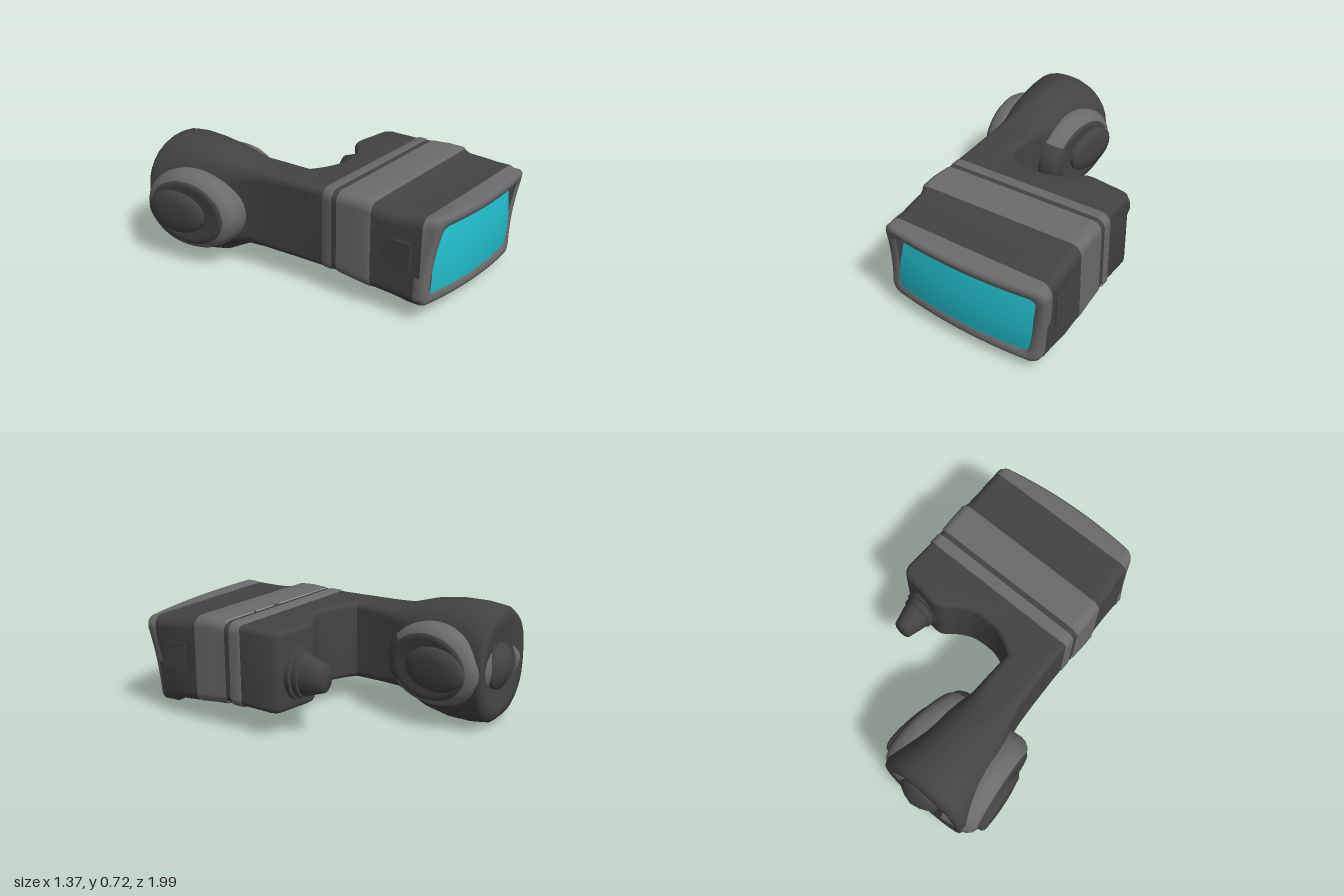
import * as THREE from 'three';
import { toCreasedNormals } from 'three/addons/utils/BufferGeometryUtils.js';

const mat = (name, color) => Object.assign(new THREE.MeshStandardMaterial({ color }), { name });

// Rounded four-sided ring; corners run top (+x), top (-x), bottom (-x), bottom (+x)
function ring([zAt, quad, r]) {
  const pts = [], arc = 7, edge = 14;
  const signs = [[1, 1], [-1, 1], [-1, -1], [1, -1]];
  const corner = (k, a) => {
    const [x, y] = quad[k], [sx, sy] = signs[k];
    return [x - sx * r + r * Math.cos(a), y - sy * r + r * Math.sin(a)];
  };
  for (let k = 0; k < 4; k++) {
    for (let i = 0; i <= arc; i++) pts.push(corner(k, (k + i / arc) * Math.PI / 2));
    const p = pts[pts.length - 1], q = corner((k + 1) % 4, (k + 1) * Math.PI / 2);
    for (let i = 1; i < edge; i++) {
      const t = i / edge;
      pts.push([p[0] + (q[0] - p[0]) * t, p[1] + (q[1] - p[1]) * t]);
    }
  }
  return pts.map(([x, y]) => [x, y, typeof zAt === 'function' ? zAt(x, y) : zAt]);
}

// Skin over rings listed from back to front
function loft(sections) {
  const rings = sections.map(ring), n = rings[0].length, index = [];
  for (let i = 0; i < rings.length - 1; i++) {
    for (let j = 0; j < n; j++) {
      const a = i * n + j, b = i * n + (j + 1) % n;
      index.push(a, b, a + n, b, b + n, a + n);
    }
  }
  const g = new THREE.BufferGeometry();
  g.setAttribute('position', new THREE.Float32BufferAttribute(rings.flat(2), 3));
  g.setIndex(index);
  g.computeVertexNormals();
  return g;
}

const box = (x0, x1, y0, y1) => [[x1, y1], [x0, y1], [x0, y0], [x1, y0]];
const inset = (quad, d) => quad.map(([x, y], k) => [x - (k === 0 || k === 3 ? d : -d), y - (k < 2 ? d : -d)]);
const lathe = (pts, start = 0, length = Math.PI * 2) =>
  toCreasedNormals(new THREE.LatheGeometry(pts.map(p => new THREE.Vector2(...p)), 48, start, length), 0.7);

export function createModel() {
  const dark = mat('charcoal', 0x434343), grey = mat('mid grey', 0x6b6b6d), teal = mat('teal', 0x20bcca);
  const model = new THREE.Group();
  const add = (name, geometry, material, parent = model) => {
    const mesh = new THREE.Mesh(geometry, material);
    mesh.name = name;
    parent.add(mesh);
    return mesh;
  };

  // Rear housing: plan outline with a scooped back, joined to the arm
  const V = (x, z) => new THREE.Vector2(x, -z);
  const plan = new THREE.Shape();
  plan.moveTo(-0.395, -0.36);
  plan.lineTo(0.635, -0.36);
  plan.lineTo(0.64, -0.03);
  plan.splineThru([V(0.625, -0.005), V(0.59, -0.03), V(0.48, -0.045), V(0.37, -0.06), V(0.31, -0.045),
    V(0.24, 0.01), V(0.14, 0.055), V(0, 0.06), V(-0.1, 0.025), V(-0.17, -0.02)]);
  plan.lineTo(-0.175, 0.12);
  plan.lineTo(-0.41, 0.12);
  const rear = new THREE.ExtrudeGeometry(plan, {
    depth: 0.41, bevelSize: 0.035, bevelThickness: 0.035, bevelOffset: -0.035, bevelSegments: 5, curveSegments: 24,
  });
  rear.rotateX(-Math.PI / 2).translate(0, 0.19, 0);
  add('rearHousing', toCreasedNormals(rear, 0.6), dark);

  // Banded body
  const band = box(-0.405, 0.65, 0.142, 0.648);
  add('rearBand', loft([[0.228, inset(band, 0.02), 0.05], [0.24, band, 0.06], [0.302, band, 0.06]]), grey);
  add('bandGroove', loft([[0.3, inset(band, 0.004), 0.06], [0.337, inset(band, 0.004), 0.06]]), dark);
  add('frontBand', loft([[0.335, band, 0.06], [0.45, box(-0.408, 0.655, 0.132, 0.654), 0.06],
    [0.54, box(-0.405, 0.66, 0.122, 0.65), 0.06], [0.558, box(-0.397, 0.657, 0.122, 0.638), 0.06]]), grey);

  // Front quad leans a little, so the neck twists towards it
  const front = [[0.675, 0.59], [-0.35, 0.63], [-0.385, 0.105], [0.62, 0.055]];
  const neck = [[0.667, 0.605], [-0.365, 0.62], [-0.38, 0.095], [0.63, 0.065]];
  add('neck', loft([[0.555, box(-0.397, 0.657, 0.122, 0.638), 0.06], [0.59, box(-0.39, 0.655, 0.117, 0.622), 0.06],
    [0.7, box(-0.383, 0.658, 0.107, 0.615), 0.06], [0.78, neck, 0.06], [0.862, neck, 0.06]]), dark);
  for (const [x, side] of [[0.66, 'left'], [-0.384, 'right']]) {
    const panel = add(side + 'Panel', new THREE.BoxGeometry(0.009, 0.18, 0.17), dark);
    panel.position.set(x, 0.38, 0.72);
  }

  // Front frame with a bowed rim
  const screenZ = (x, y) => 0.935 - 0.05 * ((x - 0.14) / 0.52) ** 2 - 0.03 * ((y - 0.25) / 0.25) ** 2;
  const rim = (d) => (x, y) => {
    const u = (x - 0.14) / 0.52, t = (y - 0.33) / 0.28;
    return 0.945 + d - 0.045 * u * u + 0.025 * t + 0.025 * t * t;
  };
  add('frame', loft([[0.86, neck, 0.06], [rim(-0.065), front, 0.06], [rim(-0.025), front, 0.06],
    [rim(-0.006), inset(front, 0.012), 0.055], [rim(0), inset(front, 0.035), 0.05],
    [rim(-0.006), inset(front, 0.06), 0.04], [rim(-0.015), inset(front, 0.068), 0.035]]), grey);
  const lip = inset(front, 0.068), floorZ = (x, y) => screenZ(x, y) - 0.012;
  add('frameRecess', loft([[rim(-0.015), lip, 0.035], [floorZ, inset(lip, 0.012), 0.03],
    [floorZ, inset(lip, 0.05), 0.02]]), dark);

  // Curved screen
  const pane = new THREE.PlaneGeometry(1, 1, 24, 12), pos = pane.attributes.position;
  const [tl, tr, br, bl] = [[-0.283, 0.53], [0.615, 0.485], [0.572, 0.118], [-0.315, 0.165]];
  for (let i = 0; i < pos.count; i++) {
    const u = pos.getX(i) + 0.5, v = pos.getY(i) + 0.5;
    const mix = (k) => (bl[k] * (1 - u) + br[k] * u) * (1 - v) + (tl[k] * (1 - u) + tr[k] * u) * v;
    const x = mix(0), y = mix(1);
    pos.setXYZ(i, x, y, screenZ(x, y));
  }
  pane.computeVertexNormals();
  add('screen', pane, teal);

  // Arm flaring into the round rear pod
  add('armAndPod', loft([
    [-0.91, box(-0.32, -0.31, 0.365, 0.375), 0.005], [-0.915, box(-0.45, -0.18, 0.23, 0.51), 0.13],
    [-0.938, box(-0.56, -0.07, 0.11, 0.63), 0.23], [-0.935, box(-0.595, -0.035, 0.06, 0.68), 0.26],
    [-0.9, box(-0.61, -0.025, 0.025, 0.708), 0.27], [-0.8, box(-0.58, -0.055, 0.005, 0.724), 0.25],
    [-0.65, box(-0.54, -0.095, 0.003, 0.724), 0.21], [-0.5, box(-0.51, -0.115, 0.035, 0.705), 0.18],
    [-0.4, box(-0.48, -0.135, 0.09, 0.675), 0.14], [-0.31, box(-0.445, -0.16, 0.14, 0.645), 0.08],
    [-0.2, box(-0.425, -0.165, 0.152, 0.637), 0.05], [-0.05, box(-0.412, -0.17, 0.153, 0.636), 0.04],
    [0.15, box(-0.402, -0.17, 0.154, 0.636), 0.04]]), dark);

  // Cap on the back of the pod
  const cap = add('rearCap', lathe([[0.14, -0.03], [0.135, 0.015], [0.11, 0.035], [0.06, 0.06], [0, 0.075]]), dark);
  cap.rotation.x = -Math.PI / 2;
  cap.position.set(-0.28, 0.37, -0.925);

  // Oval side pods: grey ring, dark dish and raised disc
  const ringProfile = [[1, -0.08], [1, 0.045], [0.97, 0.08], [0.9, 0.11], [0.8, 0.125]];
  const dishProfile = [[0.8, 0.125], [0.77, 0.135], [0.66, 0.13], [0, 0.13]];
  const discProfile = [[1, 0.12], [0.98, 0.15], [0.9, 0.163], [0.5, 0.172], [0, 0.175]];
  for (const [side, x, turn, gap] of [['left', -0.14, -0.12, 0.65], ['right', -0.505, Math.PI + 0.12, 0]]) {
    const pod = new THREE.Group();
    pod.name = side + 'SidePod';
    pod.position.set(x, side === 'left' ? 0.375 : 0.35, -0.615);
    pod.rotation.y = turn;
    model.add(pod);
    const oval = (name, profile, material, sy, sz, start, length) => {
      const g = lathe(profile, start, length);
      g.rotateZ(-Math.PI / 2).scale(1, sy, sz);
      return add(name, g, material, pod);
    };
    oval(side + 'PodRing', ringProfile, grey, 0.245, 0.325, gap, Math.PI * 2 - 2 * gap);
    if (gap) oval(side + 'PodRingFront', ringProfile, dark, 0.245, 0.325, -gap, 2 * gap);
    oval(side + 'PodDish', dishProfile, dark, 0.245, 0.325);
    const disc = oval(side + 'PodDisc', discProfile, dark, 0.13, 0.2);
    disc.position.z = side === 'left' ? -0.06 : 0.06;
  }

  // Stepped nozzle on the back of the housing
  const nozzle = add('nozzle', lathe([[0.165, -0.03], [0.165, 0.03], [0.145, 0.035], [0.145, 0.07],
    [0.13, 0.075], [0.12, 0.11], [0.085, 0.205], [0.07, 0.215], [0, 0.217]]), dark);
  nozzle.rotation.x = -Math.PI / 2;
  nozzle.scale.set(0.68, 1, 0.95);
  nozzle.position.set(0.47, 0.37, -0.033);

  return model;
}
